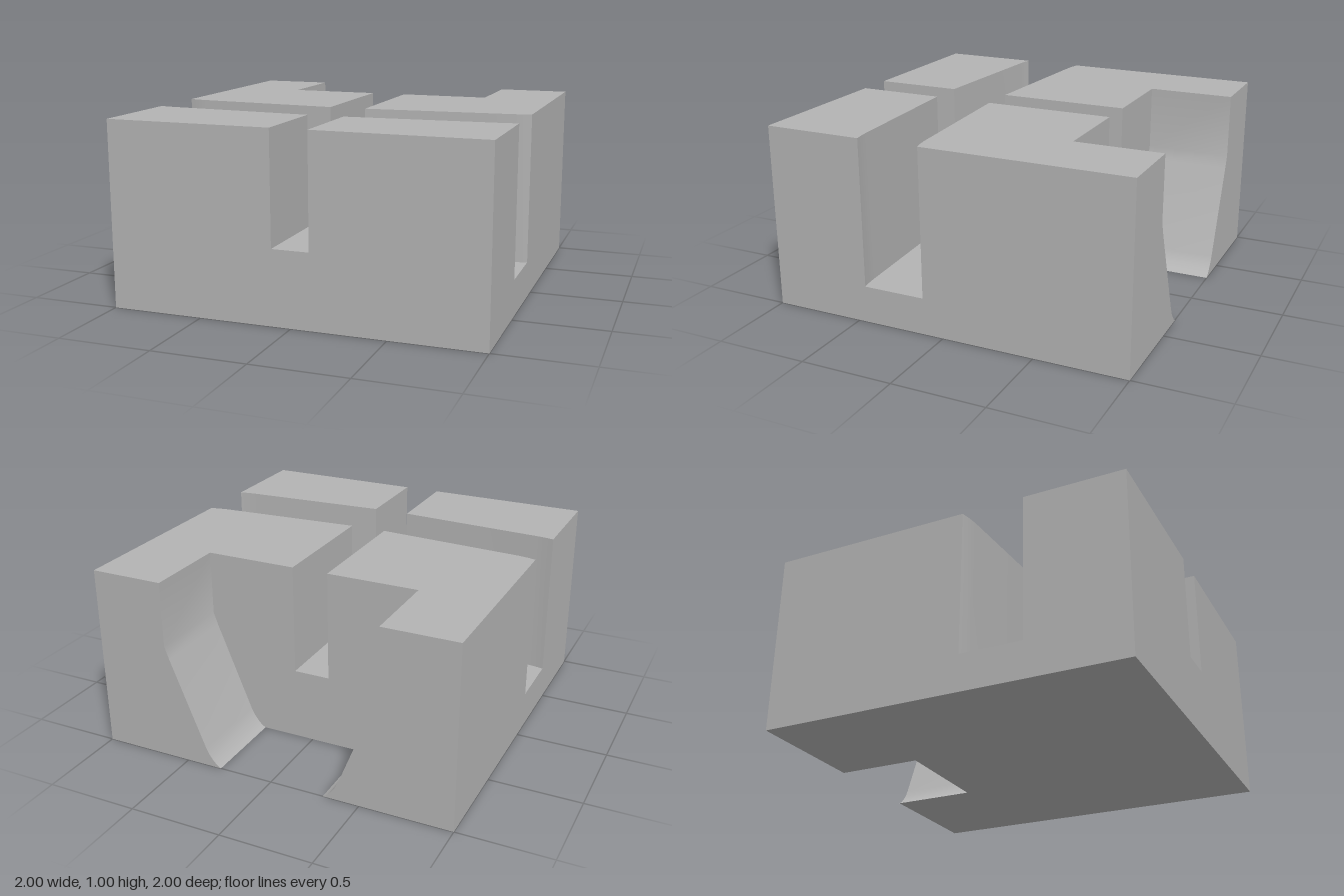
import * as THREE from 'three';
import { toCreasedNormals } from 'three/addons/utils/BufferGeometryUtils.js';

const SLOT = 0.1;         // half width of the lengthwise slot
const NOTCH_Z = -0.53;    // inner end of the rear notch
const CHANNEL_FLOOR = 0.2, SLOT_FLOOR = 0.4;

// Plan curves of the cross channel, from the slot edge out to the side, as [x, z]
const rearWall = [[SLOT, 0.184], [0.5, 0.158], [0.9, 0.132], [0.95, 0.125], [1, 0.113]];
const frontWall = [[SLOT, 0.517], [0.5, 0.493], [0.9, 0.469], [0.95, 0.464], [1, 0.455]];

// Rear arm cross-section in x, y: upright wall, slope, then a small flare at the foot
const armProfile = [
  [1, 0], [1, 1], [0.6, 1], [0.6, 0.65], [0.575, 0.58], [0.385, 0.105],
  [0.365, 0.065], [0.342, 0.035], [0.32, 0.012], [0.3, 0],
];

function extrude(points, depth) {
  const shape = new THREE.Shape(points.map(([x, y]) => new THREE.Vector2(x, y)));
  return new THREE.ExtrudeGeometry(shape, { depth, bevelEnabled: false });
}

// Upright prism over a plan outline of [x, z] points
function prism(plan, y0, y1) {
  return extrude(plan.map(([x, z]) => [x, -z]), y1 - y0).rotateX(-Math.PI / 2).translate(0, y0, 0);
}

const mirrored = (points, side) => points.map(([x, y]) => [x * side, y]);

export function createModel() {
  const group = new THREE.Group();
  const grey = new THREE.MeshStandardMaterial({ color: 0xb3b3b3 });
  grey.name = 'grey';

  const add = (name, geometry) => {
    const mesh = new THREE.Mesh(toCreasedNormals(geometry, 0.6), grey);
    mesh.name = name;
    group.add(mesh);
  };

  // Base under the channel
  add('base', prism([[-1, NOTCH_Z], [1, NOTCH_Z], [1, 1], [-1, 1]], 0, CHANNEL_FLOOR));

  // Low sills forming the slot floor
  const sill = (wall, middleZ, endZ) => prism(
    [[-SLOT, endZ], [-SLOT, wall[0][1]], [0, middleZ], wall[0], [SLOT, endZ]], CHANNEL_FLOOR, SLOT_FLOOR);
  add('rearSill', sill(rearWall, 0.19, NOTCH_Z));
  add('frontSill', sill(frontWall, 0.523, 1));

  // Four corner blocks and the two rear arms
  for (const [label, side] of [['left', 1], ['right', -1]]) {
    const block = (wall, endZ) =>
      prism(mirrored([...wall, [1, endZ], [SLOT, endZ]], side), CHANNEL_FLOOR, 1);
    add(label + 'RearBlock', block(rearWall, NOTCH_Z));
    add(label + 'FrontBlock', block(frontWall, 1));
    add(label + 'RearArm', extrude(mirrored(armProfile, side), NOTCH_Z + 1).translate(0, 0, -1));
  }
  return group;
}
